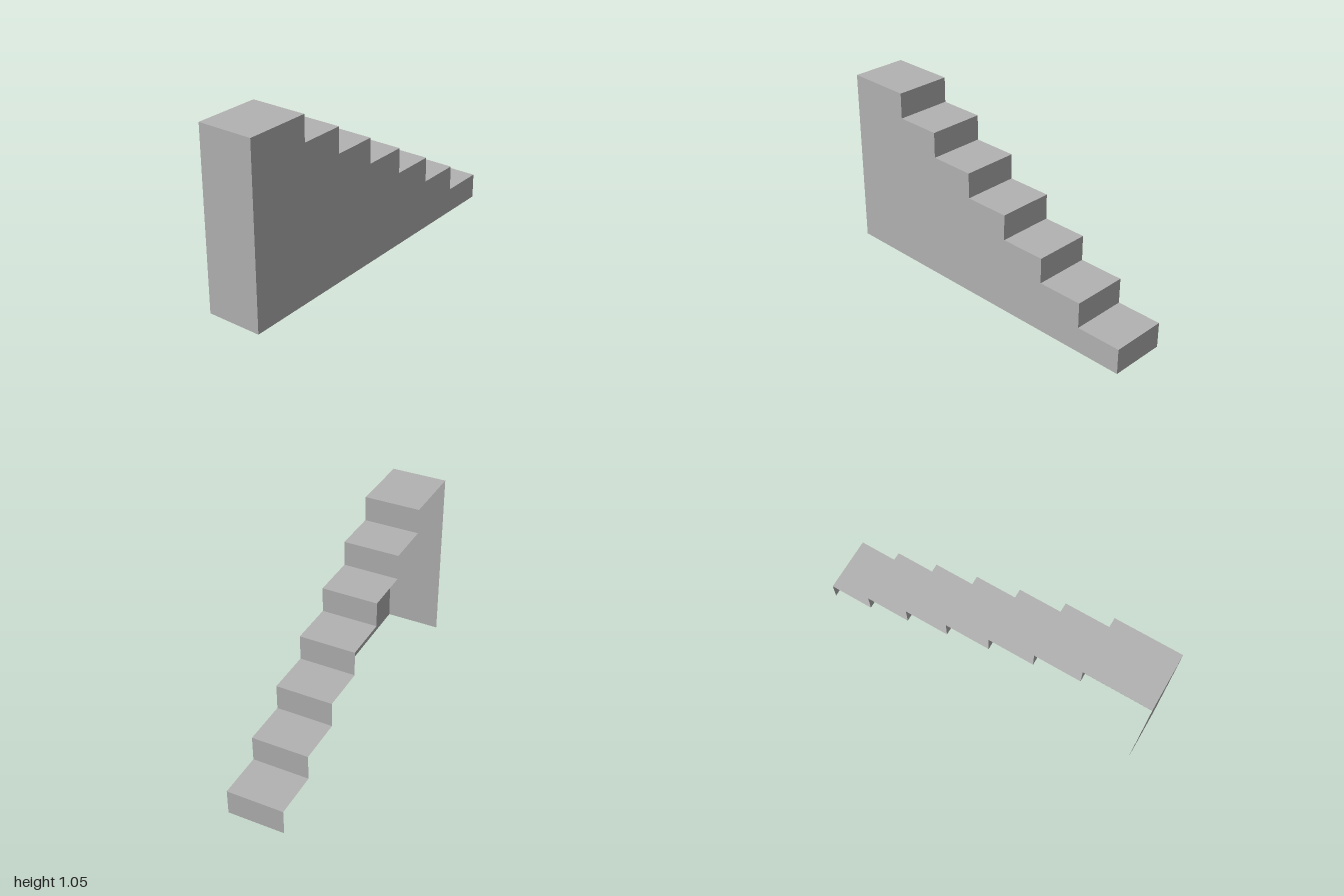
import * as THREE from 'three';

const STEPS = 7, TOTAL_HEIGHT = 1.054, PITCH = 0.2692, HALF_DEPTH = 0.165;
const RISE = TOTAL_HEIGHT / STEPS;

export function createModel() {
  const group = new THREE.Group();
  group.name = 'staircase';
  const grey = new THREE.MeshStandardMaterial({ color: 0xb2b2b2, side: THREE.DoubleSide });
  grey.name = 'plain grey';

  const add = (name, geometry) => {
    const mesh = new THREE.Mesh(geometry, grey);
    mesh.name = name;
    group.add(mesh);
    return mesh;
  };

  // Upright sheet across the stairs, facing +x (dir 1) or -x (dir -1)
  const upright = (name, x, y0, y1, dir) => {
    const mesh = add(name, new THREE.PlaneGeometry(2 * HALF_DEPTH, y1 - y0));
    mesh.rotation.y = dir * Math.PI / 2;
    mesh.position.set(x, (y0 + y1) / 2, 0);
  };

  // Risers and treads; the top tread is a longer landing
  const outline = new THREE.Shape().moveTo(-1, 0).lineTo(1, 0);
  for (let i = 0; i < STEPS; i++) {
    const last = i === STEPS - 1;
    const x1 = 1 - i * PITCH, x0 = last ? -1 : x1 - PITCH;
    const y0 = i * RISE, y1 = y0 + RISE;
    upright(`riser${i + 1}`, x1, y0, y1, 1);
    const tread = add(last ? 'landing' : `tread${i + 1}`, new THREE.PlaneGeometry(x1 - x0, 2 * HALF_DEPTH));
    tread.rotation.x = -Math.PI / 2;
    tread.position.set((x0 + x1) / 2, y1, 0);
    outline.lineTo(x1, y1).lineTo(x0, y1);
  }
  outline.closePath();

  // Stepped front wall; the back and underside stay open
  add('frontWall', new THREE.ShapeGeometry(outline)).position.z = HALF_DEPTH;

  // Tall end wall
  upright('endWall', -1, 0, TOTAL_HEIGHT, -1);

  return group;
}
